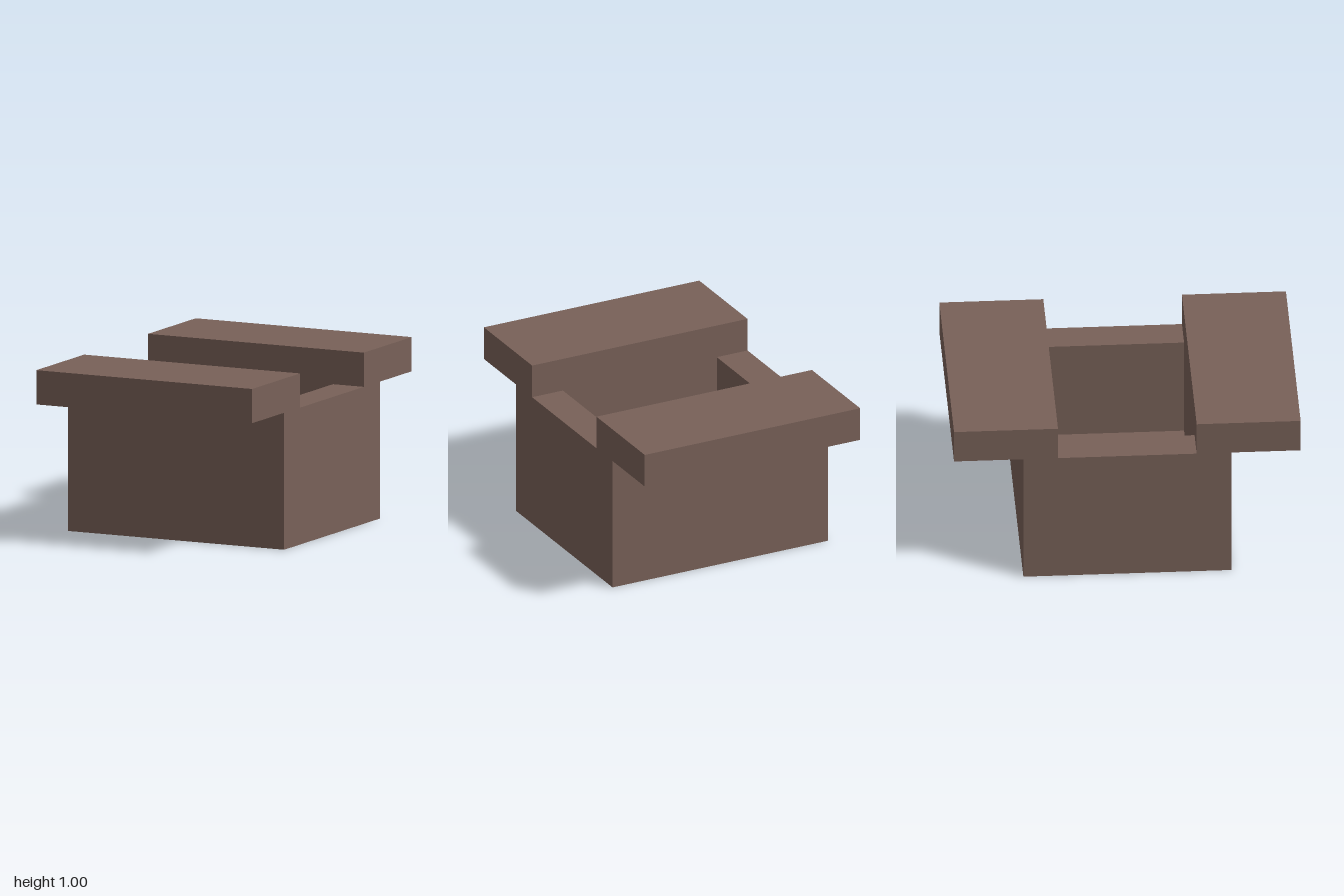
import * as THREE from 'three';

const WIDTH = 1.4, WALL = 0.2, FLOOR = 0.2, RIM = 0.8, TOP = 1, INNER = 0.4, OUTER = 0.6, LEDGE = 1;

export function createModel() {
  const group = new THREE.Group();
  group.name = 'openBox';
  const brown = new THREE.MeshStandardMaterial({ color: 0x786158 });
  brown.name = 'brown';

  const add = (name, geometry) => {
    const mesh = new THREE.Mesh(geometry, brown);
    mesh.name = name;
    group.add(mesh);
    return mesh;
  };

  // End walls: upside-down L profile (wall plus overhanging ledge), run across the width
  const profile = new THREE.Shape([
    [INNER, 0], [OUTER, 0], [OUTER, RIM], [LEDGE, RIM], [LEDGE, TOP], [INNER, TOP],
  ].map(([u, y]) => new THREE.Vector2(u, y)));
  const endWall = new THREE.ExtrudeGeometry(profile, { depth: WIDTH, bevelEnabled: false });
  endWall.translate(0, 0, -WIDTH / 2).rotateY(-Math.PI / 2);
  add('frontWallWithLedge', endWall);
  add('backWallWithLedge', endWall).rotation.y = Math.PI;

  // Lower side walls between the end walls
  for (const side of [-1, 1]) {
    const wall = add(side > 0 ? 'leftWall' : 'rightWall', new THREE.BoxGeometry(WALL, RIM, 2 * INNER));
    wall.position.set(side * (WIDTH - WALL) / 2, RIM / 2, 0);
  }

  // Floor of the cavity
  add('floor', new THREE.BoxGeometry(WIDTH - 2 * WALL, FLOOR, 2 * INNER)).position.y = FLOOR / 2;

  return group;
}
